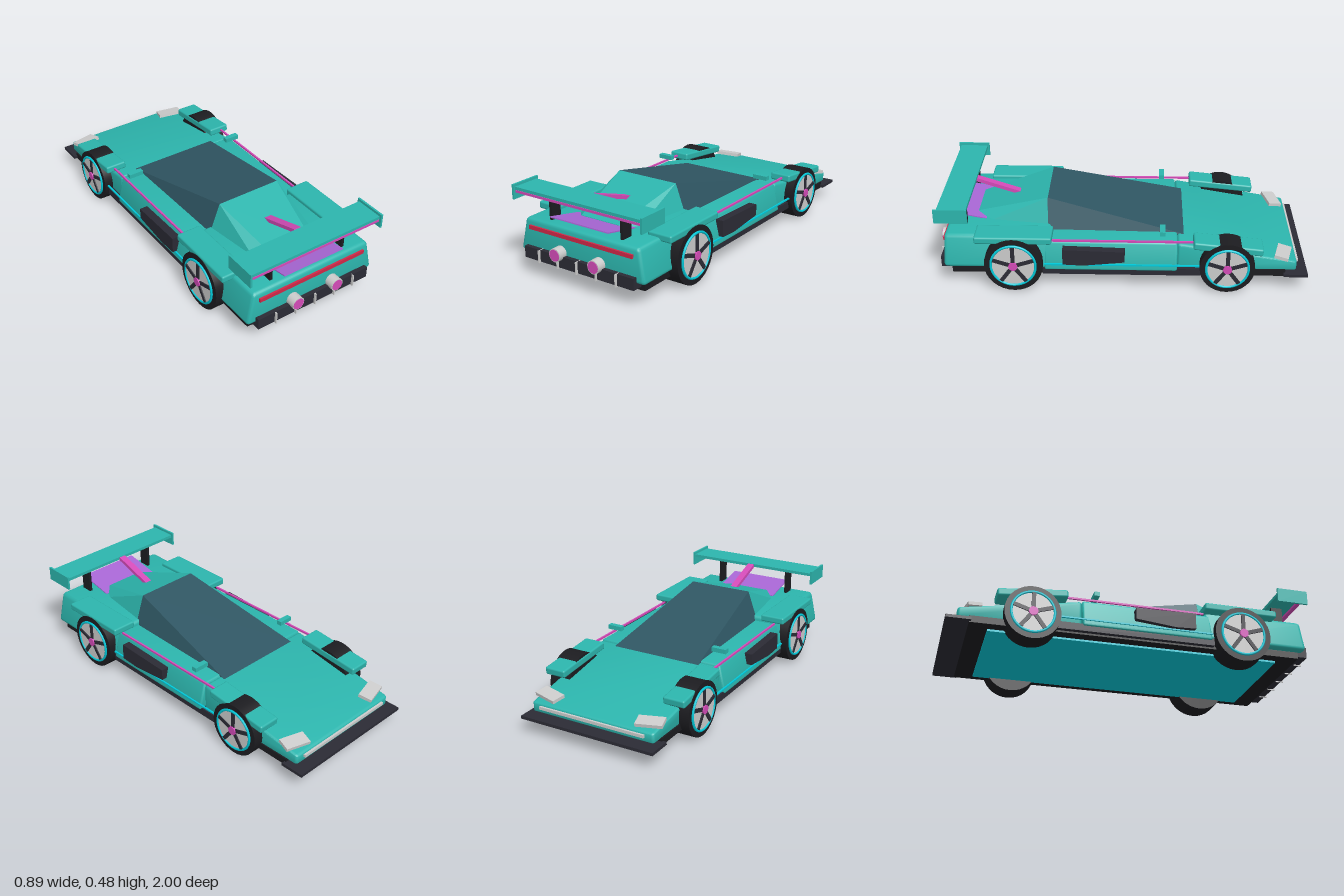
import * as THREE from 'three';
import { toCreasedNormals } from 'three/addons/utils/BufferGeometryUtils.js';
import { RoundedBoxGeometry } from 'three/addons/geometries/RoundedBoxGeometry.js';
import { ConvexGeometry } from 'three/addons/geometries/ConvexGeometry.js';

const mat = (name, color) => {
  const m = new THREE.MeshStandardMaterial({ color });
  m.name = name;
  return m;
};

export function createModel() {
  const teal = mat('teal paint', 0x2cb5ad);
  const glass = mat('dark glass', 0x2f5663);
  const dark = mat('dark trim', 0x2b2b35);
  const rubber = mat('tyre rubber', 0x1c1c20);
  const pink = mat('pink accent', 0xd44bb8);
  const purple = mat('purple panel', 0xa866d4);
  const red = mat('red light', 0xd02848);
  const cyan = mat('cyan glow', 0x00c8d8);
  const silver = mat('silver', 0xcccccc);

  const car = new THREE.Group();
  car.name = 'car';

  const add = (name, geo, material, x = 0, y = 0, z = 0, parent = car) => {
    const m = new THREE.Mesh(geo, material);
    m.name = name;
    m.position.set(x, y, z);
    parent.add(m);
    return m;
  };
  // box given by its limits on each axis
  const box = (name, material, [x0, x1], [y0, y1], [z0, z1], r = 0) => {
    const s = [x1 - x0, y1 - y0, z1 - z0];
    const geo = r ? new RoundedBoxGeometry(...s, 2, r) : new THREE.BoxGeometry(...s);
    return add(name, geo, material, (x0 + x1) / 2, (y0 + y1) / 2, (z0 + z1) / 2);
  };
  // rounded box reshaped by a rule; u, v, w run -1..1 over the box
  const shaped = (name, w, h, d, r, rule) => {
    const geo = new RoundedBoxGeometry(w, h, d, 2, r);
    const p = geo.attributes.position;
    for (let i = 0; i < p.count; i++) {
      const q = rule(p.getX(i) / w * 2, p.getY(i) / h * 2, p.getZ(i) / d * 2);
      p.setXYZ(i, ...q);
    }
    return add(name, toCreasedNormals(geo, 0.6), teal);
  };
  const lerp = THREE.MathUtils.lerp;
  const hull = (name, material, half) => add(name, new ConvexGeometry(
    half.flatMap(([x, y, z]) => [new THREE.Vector3(x, y, z), new THREE.Vector3(-x, y, z)])), material);

  // main body: sloping nose, doors and tail
  shaped('hood', 0.74, 0.12, 0.64, 0.015, (u, v, w) => {
    const t = (w + 1) / 2, s = (v + 1) / 2;
    return [u * lerp(0.36, 0.372, t), lerp(0.105, lerp(0.158, 0.268, t), s), lerp(-0.94, -0.3, t)];
  });
  shaped('doorSection', 0.8, 0.16, 0.7, 0.012, (u, v, w) => {
    const s = (v + 1) / 2;
    return [u * lerp(0.405, 0.368, s), lerp(0.115, 0.272, s), lerp(-0.3, 0.41, (w + 1) / 2)];
  });
  shaped('tailSection', 0.8, 0.18, 0.57, 0.02, (u, v, w) => {
    const s = (v + 1) / 2, t = (w + 1) / 2;
    return [u * lerp(0.4, 0.362, s), lerp(0.12, 0.302, s), lerp(0.38, lerp(0.95, 0.942, s), t)];
  });

  // cabin: glass wedge in front, painted fastback behind
  hull('windscreen', glass, [[0.26, 0.264, -0.335], [0.25, 0.25, 0.4], [0.185, 0.435, 0.4], [0.25, 0.25, -0.3]]);
  hull('fastback', teal, [[0.185, 0.435, 0.4], [0.25, 0.26, 0.4], [0.195, 0.28, 0.75],
    [0.12, 0.316, 0.79], [0.12, 0.28, 0.795]]);
  add('engineCover', new THREE.BoxGeometry(0.37, 0.006, 0.215), purple, 0, 0.322, 0.845).rotation.x = -0.2;
  add('roofSpine', new THREE.BoxGeometry(0.04, 0.02, 0.25), pink, 0, 0.413, 0.69).rotation.x = -0.32;

  // floor, splitter and glowing underside
  box('floorPan', rubber, [-0.37, 0.37], [0.075, 0.112], [-0.88, 0.91]);
  box('underGlow', cyan, [-0.31, 0.31], [0.064, 0.076], [-0.78, 0.8]);
  box('splitter', dark, [-0.39, 0.39], [0.08, 0.096], [-1, -0.87]);
  box('noseLightBar', silver, [-0.31, 0.31], [0.13, 0.146], [-0.952, -0.935]);

  // tail details
  box('tailLight', red, [-0.33, 0.33], [0.247, 0.268], [0.94, 0.954]);
  box('diffuser', dark, [-0.35, 0.35], [0.095, 0.157], [0.91, 0.972]);
  for (let i = -2; i <= 2; i++) {
    const x = i * 0.1235;
    box('diffuserFin', silver, [x - 0.003, x + 0.003], [0.09, 0.157], [0.94, 0.985]);
  }

  // rear wing
  box('wing', teal, [-0.4, 0.4], [0.445, 0.462], [0.81, 0.965]);
  box('wingStripe', pink, [-0.395, 0.395], [0.433, 0.446], [0.945, 0.968]);

  for (const s of [-1, 1]) {
    const side = (a, b) => (s > 0 ? [a, b] : [-b, -a]);
    box('wingEndPlate', teal, side(0.4, 0.411), [0.397, 0.476], [0.8, 0.977]);
    box('wingStrut', rubber, side(0.219, 0.235), [0.29, 0.446], [0.835, 0.9]);

    // fenders
    box('rearFender', teal, side(0.285, 0.427), [0.282, 0.322], [0.365, 0.775], 0.01);
    add('frontFender', new RoundedBoxGeometry(0.122, 0.042, 0.37, 2, 0.01), teal,
      s * 0.357, 0.261, -0.567).rotation.x = -0.1;

    // side trim, vent and mirror
    box('sideSkirt', dark, side(0.34, 0.395), [0.085, 0.125], [-0.46, 0.42]);
    box('skirtGlow', cyan, side(0.395, 0.405), [0.145, 0.153], [-0.48, 0.41]);
    box('waistStripe', pink, side(0.364, 0.374), [0.273, 0.283], [-0.39, 0.37]);
    box('mirror', teal, side(0.285, 0.37), [0.311, 0.335], [-0.235, -0.205]);
    const vent = new THREE.Shape([[-0.31, 0.25], [-0.31, 0.16], [-0.2, 0.155], [0.02, 0.178], [0.02, 0.24]]
      .map(([a, b]) => new THREE.Vector2(a, b)));
    add('sideVent', new THREE.ExtrudeGeometry(vent, { depth: 0.045, bevelEnabled: false }), dark,
      s > 0 ? 0.375 : -0.42).rotation.y = Math.PI / 2;

    // headlight lying on the hood
    const lamp = add('headlight', new THREE.BoxGeometry(0.14, 0.018, 0.075), silver, s * 0.3, 0.18, -0.87);
    lamp.rotation.set(-0.17, -s * 0.25, 0);

    // exhaust
    add('exhaust', new THREE.CylinderGeometry(0.036, 0.036, 0.065, 24), silver, s * 0.124, 0.167, 0.965)
      .rotation.x = Math.PI / 2;
    add('exhaustGlow', new THREE.CylinderGeometry(0.031, 0.031, 0.01, 24), pink, s * 0.124, 0.167, 0.995)
      .rotation.x = Math.PI / 2;

    // wheels, built along +z and turned outwards
    for (const [z, r, outer, label] of [[0.572, 0.156, 0.43, 'rearWheel'], [-0.565, 0.147, 0.42, 'frontWheel']]) {
      const wheel = new THREE.Group();
      wheel.name = label;
      wheel.position.set(s * outer, r, z);
      wheel.rotation.y = s * Math.PI / 2;
      car.add(wheel);
      const disc = (name, m, radius, depth, front) => {
        add(name, new THREE.CylinderGeometry(radius, radius, depth, 32), m, 0, 0, front - depth / 2, wheel)
          .rotation.x = Math.PI / 2;
      };
      disc('tyre', rubber, r, outer - 0.3, 0);
      disc('rim', silver, r * 0.74, 0.02, 0.004);
      add('rimRing', new THREE.TorusGeometry(r * 0.765, 0.007, 8, 40), cyan, 0, 0, 0.003, wheel);
      for (let i = 0; i < 5; i++) {
        const a = Math.PI / 2 + i * Math.PI * 0.4;
        const spoke = add('spoke', new THREE.BoxGeometry(r * 0.7, 0.021, 0.012), dark,
          Math.cos(a) * r * 0.38, Math.sin(a) * r * 0.38, 0.004, wheel);
        spoke.rotation.z = a;
      }
      disc('hub', pink, 0.024, 0.03, 0.016);
    }
  }
  return car;
}
